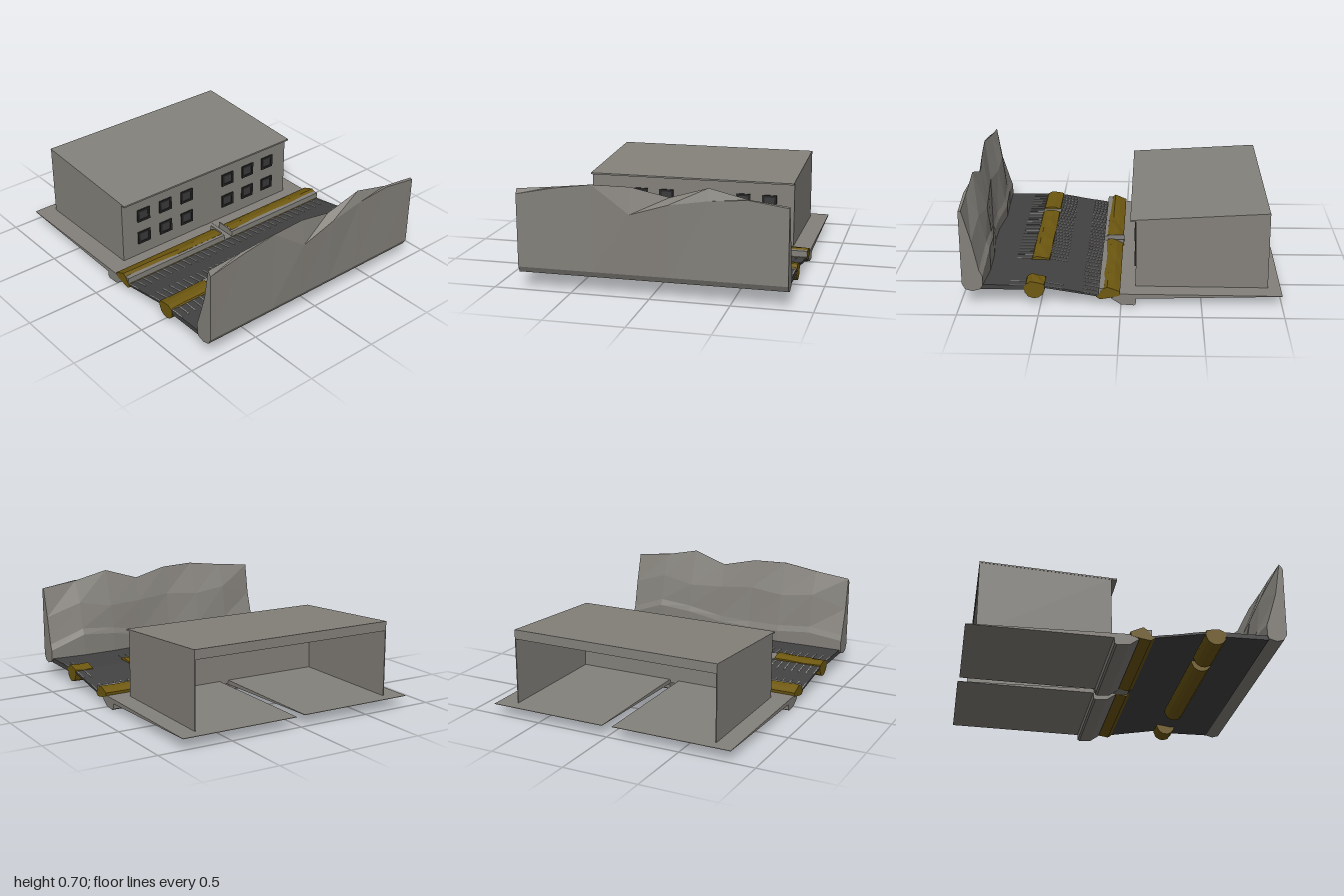
import * as THREE from 'three';

const mat = (name, color) => {
  const m = new THREE.MeshStandardMaterial({ color });
  m.name = name;
  return m;
};

export function createModel() {
  const model = new THREE.Group();
  const stone = mat('stone grey', 0x84817b);
  const asphalt = mat('asphalt', 0x424242);
  const grass = mat('dry grass', 0x6e5810);
  const paint = mat('line paint', 0x92918c);
  const frame = mat('window frame', 0x242424);
  const glass = mat('window glass', 0x3a3a3a);

  const add = (name, geo, m, parent = model) => {
    const mesh = new THREE.Mesh(geo, m);
    mesh.name = name;
    parent.add(mesh);
    return mesh;
  };
  const group = (name) => {
    const g = new THREE.Group();
    g.name = name;
    model.add(g);
    return g;
  };
  const box = (name, x0, x1, y0, y1, z0, z1, m, parent) => {
    const mesh = add(name, new THREE.BoxGeometry(x1 - x0, y1 - y0, z1 - z0), m, parent);
    mesh.position.set((x0 + x1) / 2, (y0 + y1) / 2, (z0 + z1) / 2);
    return mesh;
  };
  // Side profile of [z, y] points pushed along x
  const prism = (name, pts, x0, x1, m, parent) => {
    const shape = new THREE.Shape(pts.map(([z, y]) => new THREE.Vector2(-z, y)));
    const geo = new THREE.ExtrudeGeometry(shape, { depth: x1 - x0, bevelEnabled: false });
    geo.rotateY(Math.PI / 2).translate(x0, 0, 0);
    return add(name, geo, m, parent);
  };
  // Faceted skin over counter-clockwise [z, y] rings placed at the given x stations
  const loft = (xs, rings) => {
    const pos = [];
    const put = (k, i) => pos.push(xs[k], rings[k][i][1], rings[k][i][0]);
    const n = rings[0].length;
    for (let k = 0; k < xs.length - 1; k++) {
      for (let i = 0; i < n; i++) {
        const j = (i + 1) % n;
        put(k, i); put(k + 1, i); put(k + 1, j);
        put(k, i); put(k + 1, j); put(k, j);
      }
    }
    [0, xs.length - 1].forEach((k) => {
      const contour = rings[k].map(([z, y]) => new THREE.Vector2(z, y));
      for (const [a, b, c] of THREE.ShapeUtils.triangulateShape(contour, [])) {
        (k ? [a, c, b] : [a, b, c]).forEach((i) => put(k, i));
      }
    });
    const geo = new THREE.BufferGeometry();
    geo.setAttribute('position', new THREE.Float32BufferAttribute(pos, 3));
    geo.computeVertexNormals();
    return geo;
  };
  let seed = 7;
  const rand = () => (seed = (seed * 16807) % 2147483647) / 2147483647 - 0.5;

  // Rock face: one row per station
  // x, front top y, back top y, back top z, shelf z and y, ledge z and y, foot z
  const rock = [
    [-0.845, 0.605, 0.635, 0.965, 0.93, 0.42, 0.875, 0.24, 0.86],
    [-0.6, 0.655, 0.66, 0.97, 0.90, 0.50, 0.87, 0.27, 0.855],
    [-0.36, 0.69, 0.69, 0.985, 0.90, 0.47, 0.86, 0.25, 0.845],
    [-0.12, 0.52, 0.685, 0.97, 0.92, 0.49, 0.885, 0.24, 0.87],
    [0.12, 0.595, 0.63, 0.95, 0.90, 0.47, 0.88, 0.25, 0.87],
    [0.36, 0.63, 0.705, 0.965, 0.88, 0.46, 0.86, 0.30, 0.845],
    [0.6, 0.65, 0.65, 0.97, 0.90, 0.50, 0.86, 0.32, 0.838],
    [0.845, 0.615, 0.62, 0.97, 0.915, 0.42, 0.875, 0.23, 0.855],
  ];
  const rockRings = rock.map(([x, ft, bt, bz, sz, sy, lz, ly, fz]) => [
    [0.87, 0.105], [0.92, 0.09], [0.965, 0.103], [0.985, 0.14],
    [Math.abs(x) < 0.2 ? 1 : 0.988, ft], [bz, bt], [sz, sy], [lz, ly], [fz, ly - 0.04], [fz, 0.13],
  ]);
  add('rockFace', loft(rock.map((r) => r[0]), rockRings), stone);

  // Car park: flat upper half, ramp down to the kerb
  const slope = 0.062 / 0.37;
  const lotY = (z) => (z > 0.5 ? 0.13 : 0.068 + (z - 0.13) * slope);
  prism('carPark', [[0.87, 0.13], [0.5, 0.13], [0.13, 0.068], [0.13, 0.056], [0.48, 0.113], [0.56, 0.1], [0.87, 0.1]],
    -0.835, 0.835, asphalt);

  // Bay lines in three rows; the two rows by the upper strip skip its opening
  const lines = group('bayLines');
  [[0.135, 0.24], [0.36, 0.47], [0.58, 0.69]].forEach(([z0, z1], row) => {
    for (let i = 0; i < 32; i++) {
      const x = -0.83 + i * 0.0535;
      if (row && x > 0.42 && x < 0.74) continue;
      const z = (z0 + z1) / 2;
      const line = add('bayLine', new THREE.BoxGeometry(0.007, 0.003, z1 - z0), paint, lines);
      line.position.set(x, lotY(z) + 0.001, z);
      if (row < 2) line.rotation.x = -Math.atan(slope);
    }
  });

  // Planted strips: rounded below, lumpy on top
  const strip = (name, x0, x1, profile) => {
    const n = Math.max(2, Math.round((x1 - x0) / 0.11));
    const xs = Array.from({ length: n + 1 }, (_, i) => x0 + ((x1 - x0) * i) / n);
    const mid = (Math.max(...profile.map((p) => p[1])) + Math.min(...profile.map((p) => p[1]))) / 2;
    const rings = xs.map(() => profile.map(([z, y]) => [z, y > mid + 0.015 ? y + rand() * 0.012 : y]));
    add(name, loft(xs, rings), grass);
  };
  const lower = [[0.01, 0.065], [0.07, 0.05], [0.13, 0.04], [0.155, 0.057], [0.137, 0.072], [0.115, 0.11], [0.085, 0.122], [0.045, 0.112], [0.005, 0.092]];
  const upper = [[0.473, 0.1], [0.488, 0.066], [0.515, 0.047], [0.545, 0.043], [0.575, 0.054], [0.597, 0.08], [0.602, 0.115], [0.588, 0.14], [0.56, 0.149], [0.52, 0.147], [0.476, 0.134]];
  strip('lowerPlanting', -0.837, -0.042, lower);
  strip('lowerPlanting', 0.042, 0.837, lower);
  strip('upperPlanting', -0.837, -0.495, upper);
  strip('upperPlanting', -0.435, 0.43, upper);
  strip('upperPlanting', 0.705, 0.837, upper);
  box('upperPath', -0.495, -0.435, 0.115, 0.134, 0.468, 0.588, stone);

  // Two mirrored halves of kerb and forecourt with a slot between them
  [[-0.835, -0.033, -0.99], [0.033, 0.835, -1]].forEach(([x0, x1, back]) => {
    prism('kerb', [[0.06, 0.046], [0, 0.005], [-0.08, 0], [-0.092, 0.008], [-0.095, 0.045], [-0.095, 0.075], [0, 0.075], [0.03, 0.064]], x0, x1, stone);
    prism('forecourt', [[-0.09, 0.075], [-0.09, 0.045], [-0.92, 0.066], [back, 0.068], [back, 0.071]], x0, x1, stone);
    box('plantingEdge', x0, x1, 0.06, 0.112, 0.105, 0.137, stone);
    const inner = x0 < 0 ? x1 - 0.009 : x0;
    box('plantingEnd', inner, inner + 0.009, 0.05, 0.12, 0, 0.11, stone);
  });
  box('footpath', -0.035, 0.035, 0.05, 0.073, -0.09, 0.137, stone);

  // Building shell, open at the back
  const house = group('building');
  const W = 0.71;
  box('frontWall', -W, W, 0.07, 0.512, -0.096, -0.09, stone, house);
  [-W, W - 0.006].forEach((x) =>
    prism('sideWall', [[-0.09, 0.07], [-0.09, 0.512], [-0.92, 0.56], [-0.92, 0.07]], x, x + 0.006, stone, house));
  prism('roof', [[-0.055, 0.505], [-0.055, 0.516], [-0.92, 0.567], [-0.92, 0.558], [-0.09, 0.508]], -W - 0.002, W, stone, house);
  box('backBeam', -W, W, 0.505, 0.56, -0.92, -0.914, stone, house);

  // Windows: four-sided frames around recessed panes
  for (const cx of [-0.54, -0.36, -0.18, 0.18, 0.36, 0.54]) {
    for (const cy of [0.205, 0.375]) {
      const hole = new THREE.Path();
      hole.moveTo(-0.034, -0.03).lineTo(-0.034, 0.03).lineTo(0.034, 0.03).lineTo(0.034, -0.03).closePath();
      const shape = new THREE.Shape();
      shape.moveTo(-0.05, -0.045).lineTo(0.05, -0.045).lineTo(0.05, 0.045).lineTo(-0.05, 0.045).closePath();
      shape.holes.push(hole);
      const geo = new THREE.ExtrudeGeometry(shape, { depth: 0.009, bevelEnabled: false });
      add('windowFrame', geo, frame, house).position.set(cx, cy, -0.09);
      box('windowPane', cx - 0.036, cx + 0.036, cy - 0.032, cy + 0.032, -0.09, -0.086, glass, house);
    }
  }
  return model;
}
